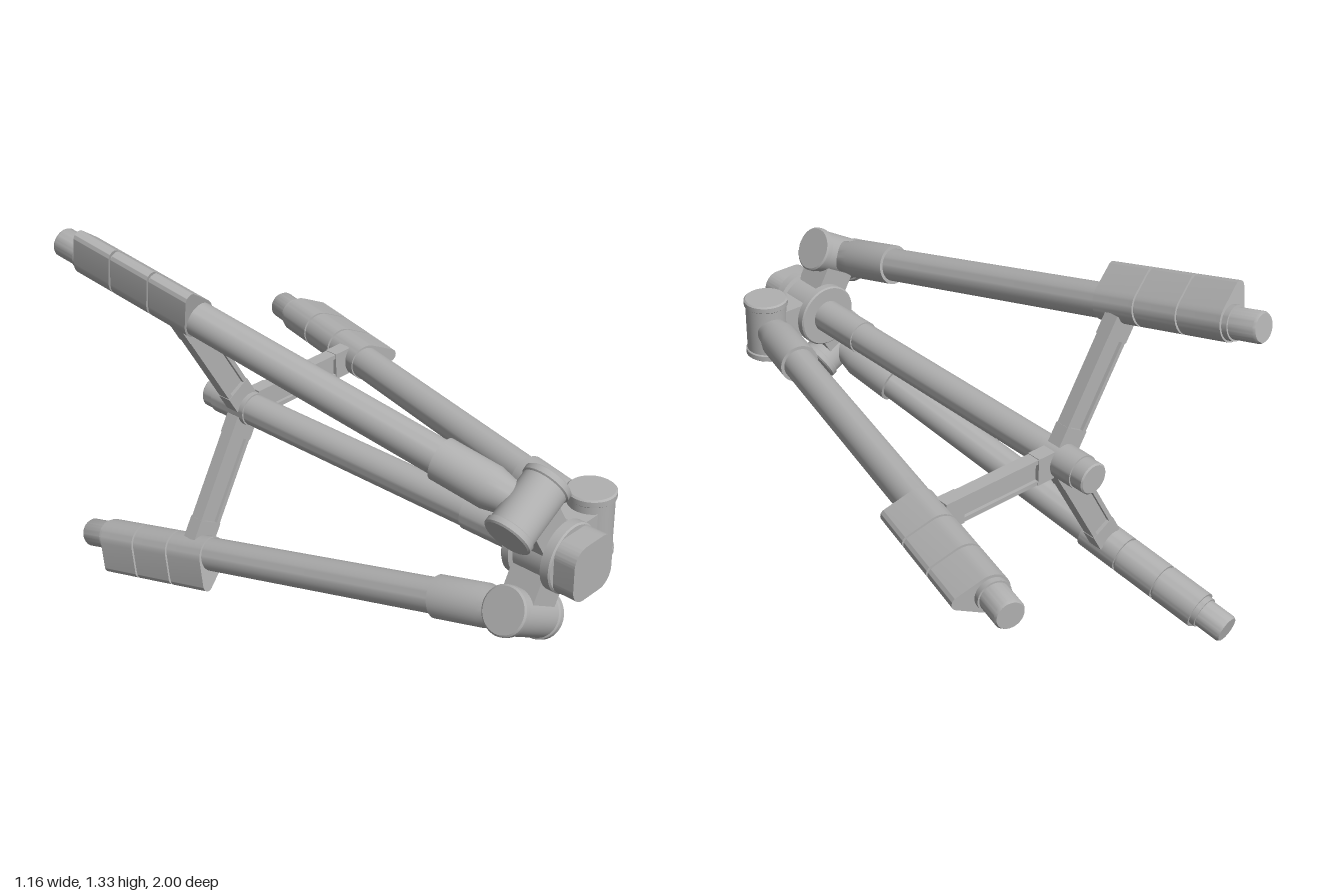
import * as THREE from 'three';
import { toCreasedNormals } from 'three/addons/utils/BufferGeometryUtils.js';

const grey = new THREE.MeshStandardMaterial({ color: 0xb0b0b0 });
grey.name = 'matte grey';

function part(name, geometry, parent) {
  const mesh = new THREE.Mesh(toCreasedNormals(geometry, 0.6), grey);
  mesh.name = name;
  parent.add(mesh);
  return mesh;
}

// Closed turned solid; profile is [radius, distance], distance grows along +y
function turned(profile) {
  const first = profile[0], last = profile[profile.length - 1];
  const pts = [[0, first[1]], ...profile, [0, last[1]]];
  return new THREE.LatheGeometry(pts.map(([r, d]) => new THREE.Vector2(r, d)), 40);
}

// Turned solid whose distance runs backwards along -z
const turnedBack = (profile) => turned(profile).rotateX(-Math.PI / 2);

function box(name, size, pos, parent) {
  part(name, new THREE.BoxGeometry(...size), parent).position.set(...pos);
}

// Teardrop grip section: round towards the tube, tapering to a blunt outer nose
function gripShape(inset) {
  const R = 0.066 - inset, r = 0.024 - inset / 2, cx = 0.004, nx = 0.106 - inset;
  const a = Math.acos((R - r) / (nx - cx));
  const s = new THREE.Shape();
  s.absarc(cx, 0, R, a, Math.PI * 2 - a, false);
  s.absarc(nx, 0, r, -a, a, false);
  s.closePath();
  return s;
}

function gripBlock(inset, from, to) {
  const g = new THREE.ExtrudeGeometry(gripShape(inset), {
    depth: to - from, bevelEnabled: false, curveSegments: 16,
  });
  return g.translate(0, 0, -to);
}

function roundedSquare(h, c) {
  const s = new THREE.Shape(), k = h - c;
  s.absarc(k, k, c, 0, Math.PI / 2, false);
  s.absarc(-k, k, c, Math.PI / 2, Math.PI, false);
  s.absarc(-k, -k, c, Math.PI, Math.PI * 1.5, false);
  s.absarc(k, -k, c, Math.PI * 1.5, Math.PI * 2, false);
  s.closePath();
  return s;
}

// Leg pivots at its origin and runs along -z, with +x facing outward
function makeLeg() {
  const leg = new THREE.Group();
  leg.name = 'leg';
  part('legSleeve', turnedBack([[0.054, 0.03], [0.058, 0.08], [0.07, 0.13], [0.07, 0.312]]), leg);
  part('legTube', turnedBack([[0.058, 0.3], [0.058, 1.3]]), leg);
  part('foot', turnedBack([[0.05, 1.7], [0.05, 1.862], [0.045, 1.87]]), leg);
  part('footCollar', turnedBack([[0.056, 1.74], [0.056, 1.775]]), leg);

  // Grip: three pads over a slimmer core, leaving two grooves
  const start = 1.271, end = 1.756, gap = 0.009, n = 3;
  const pad = (end - start - gap * (n - 1)) / n;
  for (let i = 0; i < n; i++) {
    const from = start + i * (pad + gap);
    part('gripPad', gripBlock(0, from, from + pad), leg);
  }
  part('gripCore', gripBlock(0.008, start + 0.01, end - 0.01), leg);
  return leg;
}

// One spoke: arm, hinge, leg and spreader, built along +x
function makeSpoke() {
  const spoke = new THREE.Group();
  spoke.name = 'spoke';
  box('hingeArm', [0.13, 0.125, 0.12], [0.13, 0, 0.83], spoke);
  const barrel = part('hingeBarrel', turned([
    [0.074, -0.113], [0.08, -0.108], [0.08, -0.09], [0.075, -0.086],
    [0.075, 0.086], [0.08, 0.09], [0.08, 0.108], [0.074, 0.113],
  ]), spoke);
  barrel.position.set(0.212, 0, 0.83);

  const leg = makeLeg();
  leg.position.set(0.212, 0, 0.83);
  leg.rotation.y = -THREE.MathUtils.degToRad(14);
  spoke.add(leg);

  // Spreader strut: solid ends, thin web and two edge rails
  const z = -0.485;
  box('spreaderInnerEnd', [0.07, 0.1, 0.052], [0.075, 0, z], spoke);
  box('spreaderOuterEnd', [0.075, 0.1, 0.052], [0.46, 0, z], spoke);
  box('spreaderWeb', [0.33, 0.07, 0.024], [0.267, 0, z], spoke);
  for (const side of [-1, 1]) {
    box('spreaderRail', [0.33, 0.016, 0.048], [0.267, side * 0.04, z], spoke);
  }
  return spoke;
}

export function createModel() {
  const model = new THREE.Group();
  model.name = 'tripod';
  const body = new THREE.Group();
  body.name = 'body';
  body.position.set(-0.185, 0.668, 0);
  model.add(body);

  // Hub with rims, and the mounting head at the front
  part('hub', turnedBack([
    [0.11, -0.925], [0.115, -0.92], [0.115, -0.89], [0.1, -0.885],
    [0.1, -0.775], [0.115, -0.77], [0.115, -0.745], [0.11, -0.74],
  ]), body);
  const head = new THREE.ExtrudeGeometry(roundedSquare(0.094, 0.055), {
    depth: 0.085, bevelEnabled: false, curveSegments: 10,
  });
  part('mountingHead', head, body).position.z = 0.915;

  // Centre column
  part('columnSleeve', turnedBack([[0.06, -0.75], [0.06, -0.53]]), body);
  part('centreColumn', turnedBack([[0.055, -0.55], [0.055, 0.645], [0.05, 0.65]]), body);
  part('spreaderCollar', turnedBack([[0.06, 0.44], [0.06, 0.598]]), body);

  for (let i = 0; i < 3; i++) {
    const spoke = makeSpoke();
    spoke.rotation.z = (i * Math.PI * 2) / 3;
    body.add(spoke);
  }
  return model;
}
